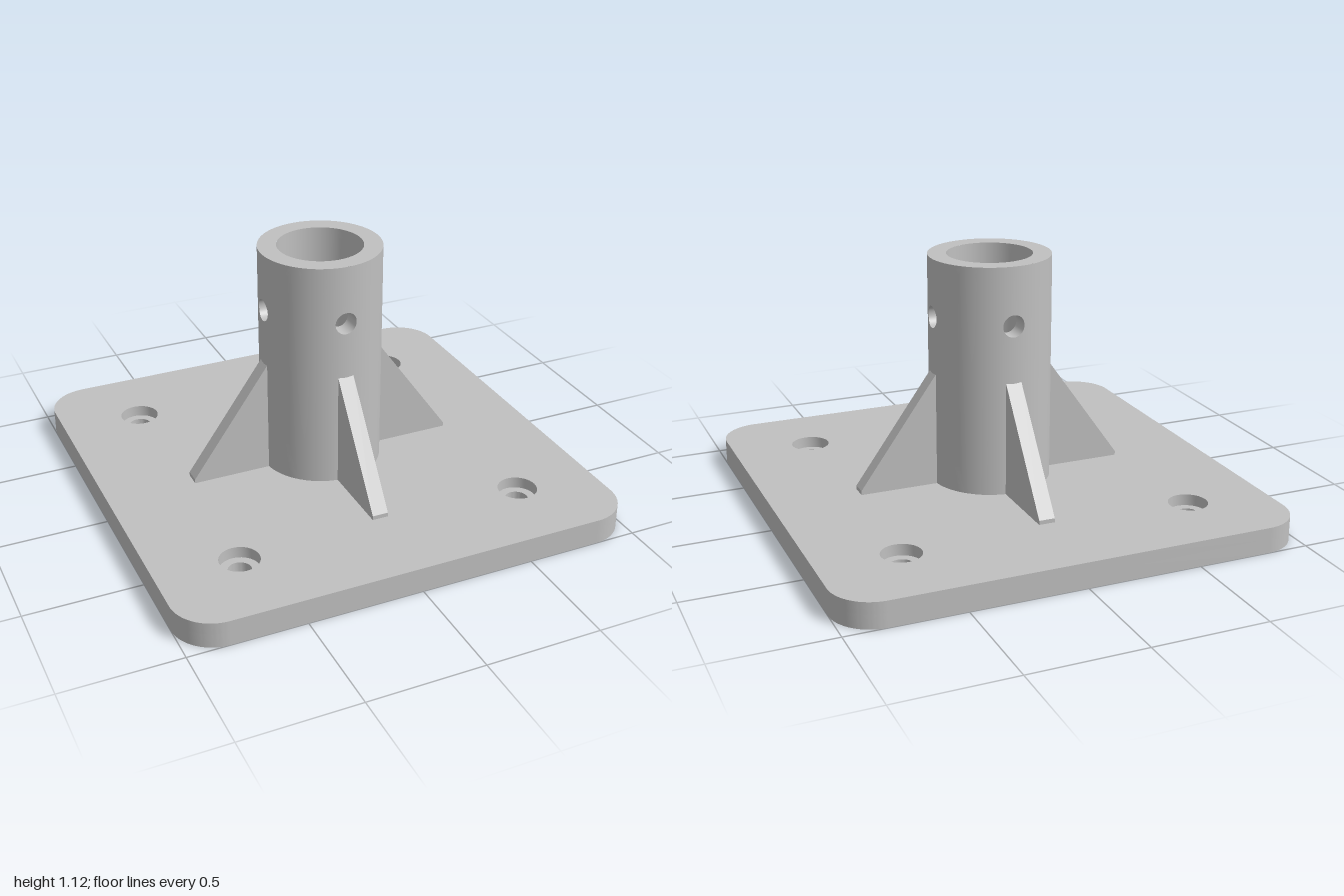
import * as THREE from 'three';
import { toCreasedNormals } from 'three/addons/utils/BufferGeometryUtils.js';

const PLATE_TOP = 0.112, TUBE_TOP = 1.115, BORE_DEPTH = 0.05;
const R_OUT = 0.266, R_IN = 0.185;
const PIN_Y = 0.86, PIN_R = 0.048;
const BOLT = 0.643, BOLT_R = 0.049, BOLT_HEAD_R = 0.085;

// Rounded square slab with four bolt holes, lying between y0 and y1
function slab(y0, y1, holeR) {
  const r = 0.18, c = 1 - r;
  const shape = new THREE.Shape();
  shape.absarc(c, c, r, 0, Math.PI / 2);
  shape.absarc(-c, c, r, Math.PI / 2, Math.PI);
  shape.absarc(-c, -c, r, Math.PI, Math.PI * 1.5);
  shape.absarc(c, -c, r, Math.PI * 1.5, Math.PI * 2);
  shape.closePath();
  for (const x of [-BOLT, BOLT]) for (const y of [-BOLT, BOLT]) {
    shape.holes.push(new THREE.Path().absarc(x, y, holeR, 0, Math.PI * 2, true));
  }
  const geo = new THREE.ExtrudeGeometry(shape, { depth: y1 - y0, bevelEnabled: false, curveSegments: 20 });
  geo.rotateX(-Math.PI / 2).translate(0, y0, 0);
  return toCreasedNormals(geo, 0.6);
}

// Grid closed around angle a, with t running 0..1; point(a, t) gives position and normal
function loopGrid(around, rings, point, flip) {
  const pos = [], nor = [], idx = [];
  for (let j = 0; j <= rings; j++) for (let i = 0; i < around; i++) {
    const [p, n] = point((i / around) * Math.PI * 2, j / rings);
    pos.push(...p);
    nor.push(...n);
  }
  for (let j = 0; j < rings; j++) for (let i = 0; i < around; i++) {
    const k = (i + 1) % around;
    const a = j * around + i, b = a + around, c = (j + 1) * around + k, d = j * around + k;
    if (flip) idx.push(a, c, b, a, d, c);
    else idx.push(a, b, c, a, c, d);
  }
  const geo = new THREE.BufferGeometry();
  geo.setAttribute('position', new THREE.Float32BufferAttribute(pos, 3));
  geo.setAttribute('normal', new THREE.Float32BufferAttribute(nor, 3));
  geo.setIndex(idx);
  return geo;
}

// Quarter of a cylinder wall, spreading from the pin hole to the quarter's edges
function quarterShell(r, inward) {
  const s = inward ? -1 : 1;
  return loopGrid(64, 12, (a, t) => {
    const c = Math.cos(a), v = Math.sin(a), m = Math.max(Math.abs(c), Math.abs(v));
    const reach = v > 0 ? TUBE_TOP - PIN_Y : PIN_Y - PLATE_TOP;
    const angle = THREE.MathUtils.lerp(Math.asin((PIN_R * c) / r), (c / m) * Math.PI / 4, t);
    const y = PIN_Y + THREE.MathUtils.lerp(PIN_R * v, (v / m) * reach, t);
    const x = Math.sin(angle), z = Math.cos(angle);
    return [[r * x, y, r * z], [s * x, 0, s * z]];
  }, inward);
}

// Wall of a pin hole, from the bore out to the tube surface
function pinHoleWall() {
  return loopGrid(64, 1, (a, t) => {
    const x = PIN_R * Math.cos(a), y = PIN_R * Math.sin(a);
    const r = THREE.MathUtils.lerp(R_IN, R_OUT, t);
    return [[x, PIN_Y + y, Math.sqrt(r * r - x * x)], [-Math.cos(a), -Math.sin(a), 0]];
  }, false);
}

// Triangular rib reaching out along +x
function ribGeometry() {
  const shape = new THREE.Shape([
    [0.23, PLATE_TOP], [0.61, PLATE_TOP], [0.61, 0.13], [0.264, 0.612], [0.23, 0.612],
  ].map(([x, y]) => new THREE.Vector2(x, y)));
  return new THREE.ExtrudeGeometry(shape, { depth: 0.07, bevelEnabled: false }).translate(0, 0, -0.035);
}

export function createModel() {
  const model = new THREE.Group();
  model.name = 'postBase';
  const steel = new THREE.MeshStandardMaterial({ color: 0xc0c0c0 });
  steel.name = 'grey steel';

  const add = (name, geo, parent = model) => {
    const mesh = new THREE.Mesh(geo, steel);
    mesh.name = name;
    parent.add(mesh);
    return mesh;
  };

  // Base plate: narrow bolt holes below, wide counterbores above
  const plate = new THREE.Group();
  plate.name = 'basePlate';
  model.add(plate);
  add('plateLower', slab(0, PLATE_TOP - BORE_DEPTH, BOLT_R), plate);
  add('plateUpper', slab(PLATE_TOP - BORE_DEPTH, PLATE_TOP, BOLT_HEAD_R), plate);

  // Tube in four quarters, each with a pin hole, and a rib at each quarter
  const tube = new THREE.Group();
  tube.name = 'tube';
  model.add(tube);
  const outer = quarterShell(R_OUT, false), inner = quarterShell(R_IN, true);
  const wall = pinHoleWall(), rib = ribGeometry();
  for (let i = 0; i < 4; i++) {
    const turn = (i * Math.PI) / 2;
    add('tubeOuterWall', outer, tube).rotation.y = turn;
    add('tubeBore', inner, tube).rotation.y = turn;
    add('pinHole', wall, tube).rotation.y = turn;
    add('rib', rib).rotation.y = turn;
  }
  const rim = new THREE.RingGeometry(R_IN, R_OUT, 64).rotateX(-Math.PI / 2);
  add('tubeRim', rim, tube).position.y = TUBE_TOP;

  return model;
}
